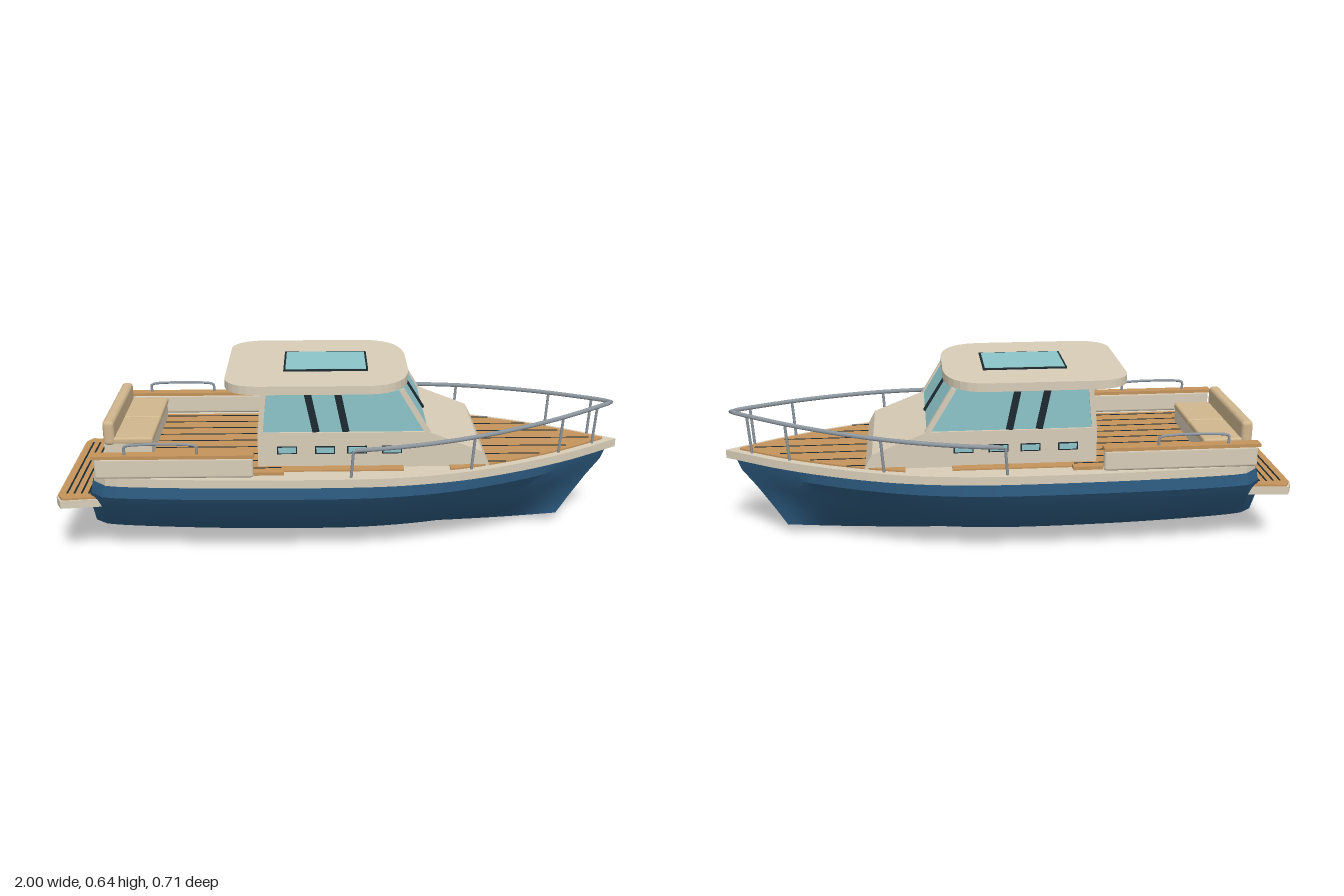
import * as THREE from 'three';
import { toCreasedNormals } from 'three/addons/utils/BufferGeometryUtils.js';
import { RoundedBoxGeometry } from 'three/addons/geometries/RoundedBoxGeometry.js';

const mat = (name, color, side = THREE.FrontSide) => {
  const m = new THREE.MeshStandardMaterial({ color, side });
  m.name = name;
  return m;
};

export function createModel() {
  const boat = new THREE.Group();
  boat.name = 'motorBoat';
  const navy = mat('hullBlue', 0x2c597e);
  const cream = mat('cream', 0xd8cdb8);
  const teak = mat('teak', 0xc4945c);
  const dark = mat('darkTrim', 0x1c2a30);
  const glass = mat('glass', 0x8cc4c9, THREE.DoubleSide);
  const metal = mat('metal', 0x8d969e);
  const tan = mat('cushionTan', 0xcfb68e);

  const add = (name, geo, material) => {
    const m = new THREE.Mesh(geo, material);
    m.name = name;
    boat.add(m);
    return m;
  };
  // Box given by its limits on each axis
  const box = (name, material, [x0, x1], [y0, y1], [z0, z1], r = 0) => {
    const s = [x1 - x0, y1 - y0, z1 - z0];
    const geo = r ? new RoundedBoxGeometry(...s, 3, r) : new THREE.BoxGeometry(...s);
    const m = add(name, geo, material);
    m.position.set((x0 + x1) / 2, (y0 + y1) / 2, (z0 + z1) / 2);
    return m;
  };
  // Slanted bar between two points of the side profile
  const slab = (name, material, [x0, y0], [x1, y1], thick, z, width) => {
    const m = add(name, new THREE.BoxGeometry(Math.hypot(x1 - x0, y1 - y0), thick, width), material);
    m.position.set((x0 + x1) / 2, (y0 + y1) / 2, z);
    m.rotation.z = Math.atan2(y1 - y0, x1 - x0);
    return m;
  };
  const shapeOf = (pts) => new THREE.Shape(pts.map((p) => new THREE.Vector2(...p)));
  // Horizontal plate from a plan outline
  const plate = (name, material, shape, y0, y1) => {
    const g = new THREE.ExtrudeGeometry(shape, { depth: y1 - y0, bevelEnabled: false, curveSegments: 6 });
    g.rotateX(-Math.PI / 2).translate(0, y0, 0);
    return add(name, g, material);
  };
  // Upright panel from a side profile
  const panel = (name, material, pts, z0, z1) => {
    const g = new THREE.ExtrudeGeometry(shapeOf(pts), { depth: z1 - z0, bevelEnabled: false });
    g.translate(0, 0, z0);
    return add(name, g, material);
  };

  // Half breadth of the deck along the length
  const edge = new THREE.SplineCurve([
    [-0.86, 0.275], [-0.82, 0.318], [-0.68, 0.338], [-0.35, 0.354], [0, 0.355], [0.2, 0.342],
    [0.4, 0.302], [0.6, 0.23], [0.8, 0.13], [1, 0],
  ].map((p) => new THREE.Vector2(...p))).getPoints(90);
  const half = (x) => {
    const i = edge.findIndex((p) => p.x >= x);
    if (i < 0) return 0;
    if (i === 0) return edge[0].y;
    const a = edge[i - 1], b = edge[i];
    return a.y + (b.y - a.y) * (x - a.x) / (b.x - a.x);
  };
  const deckShape = (x0, x1, inset) => {
    const right = [], left = [], n = 40;
    for (let i = 0; i <= n; i++) {
      const x = x0 + (x1 - x0) * i / n;
      const w = Math.max(0.001, half(x) - inset);
      right.push([x, -w]);
      left.unshift([x, w]);
    }
    return shapeOf([...right, ...left]);
  };

  // Hull: stations lofted through sheer, shoulder, bilge, chine and keel
  const levels = [ // stern x, bow x, half breadth, height, end rise, fineness
    [-0.865, 0.968, 0.338, 0.308, 0, 1],
    [-0.875, 0.95, 0.346, 0.257, 0, 1],
    [-0.885, 0.9, 0.3, 0.185, 0.005, 1.1],
    [-0.89, 0.84, 0.212, 0.084, 0.015, 1.2],
    [-0.888, 0.8, 0, 0, 0.034, 1],
  ];
  const N = 40, pos = [], idx = [], R = 9;
  for (let i = 0; i <= N; i++) {
    const s = i / N, f = half(-0.86 + 1.86 * s) / 0.355, u = 2 * s - 1;
    for (let j = 0; j < R; j++) {
      const [xs, xb, w, y, rise, p] = levels[j < 5 ? j : 8 - j];
      pos.push(xs + (xb - xs) * s, y + rise * u * u, (j < 5 ? 1 : -1) * w * Math.pow(f, p));
    }
  }
  for (let i = 0; i < N; i++) for (let j = 0; j < R - 1; j++) {
    const a = i * R + j, b = a + R;
    idx.push(a, a + 1, b, b, a + 1, b + 1);
  }
  const centre = pos.length / 3;
  pos.push(-0.89, 0.17, 0);
  for (let j = 0; j < R; j++) idx.push(centre, (j + 1) % R, j);
  const hullGeo = new THREE.BufferGeometry();
  hullGeo.setAttribute('position', new THREE.Float32BufferAttribute(pos, 3));
  hullGeo.setIndex(idx);
  add('hull', toCreasedNormals(hullGeo, 0.5), navy);

  // Deck and gunwale
  plate('gunwale', cream, deckShape(-0.86, 1, 0), 0.303, 0.333);
  plate('foredeck', teak, deckShape(0.36, 0.95, 0.03), 0.333, 0.339);
  box('cockpitFloor', teak, [-0.83, 0.2], [0.333, 0.338], [-0.29, 0.29]).scale.z = 0.98;
  for (const [z, x1] of [[0, 0.9], [0.075, 0.8], [0.15, 0.69], [0.22, 0.56]])
    for (const s of z ? [1, -1] : [1])
      box('foredeckSeam', dark, [0.49, x1], [0.338, 0.3405], [s * z - 0.0025, s * z + 0.0025]);
  for (let i = -4; i <= 4; i++)
    box('cockpitSeam', dark, [-0.8, -0.22], [0.337, 0.3395], [i * 0.065 - 0.0025, i * 0.065 + 0.0025]);

  // Swim platform
  const platform = (k) => shapeOf([[-1 + k, -0.25], [-0.98 + k, -0.29 + k], [-0.84, -0.275 + k],
    [-0.84, 0.275 - k], [-0.98 + k, 0.29 - k], [-1 + k, 0.25]]);
  plate('swimPlatform', cream, platform(0), 0.205, 0.233);
  plate('platformTeak', teak, platform(0.006), 0.233, 0.24);
  for (const x of [-0.965, -0.94, -0.915, -0.89])
    box('platformSeam', dark, [x - 0.003, x + 0.003], [0.239, 0.2415], [-0.24, 0.24]);
  box('transomTrim', dark, [-0.882, -0.868], [0.238, 0.25], [-0.25, 0.25]);

  // Stern bench
  box('benchBase', cream, [-0.84, -0.675], [0.335, 0.392], [-0.265, 0.16]);
  for (const z of [-0.268, -0.053])
    box('benchCushion', tan, [-0.81, -0.67], [0.39, 0.414], [z, z + 0.215], 0.008);
  box('benchBackrest', tan, [-0.842, -0.802], [0.385, 0.475], [-0.272, 0.165], 0.014);

  // Tube through points
  const tube = (name, pts, r, n = 12) => add(name, new THREE.TubeGeometry(
    new THREE.CatmullRomCurve3(pts.map((p) => new THREE.Vector3(...p)), false, 'centripetal'), n, r, 8), metal);

  for (const s of [1, -1]) {
    const span = (a, b) => (s > 0 ? [a, b] : [-b, -a]);
    // Cockpit sides, caps, steps and grab rails
    box('cockpitSide', cream, [-0.845, -0.312], [0.333, 0.408], span(0.308, 0.336), 0.01);
    box('cockpitCap', teak, [-0.85, -0.31], [0.406, 0.418], span(0.303, 0.342));
    box('sideStep', teak, [-0.312, -0.21], [0.333, 0.345], span(0.28, 0.315));
    const z = s * 0.325;
    tube('grabRail', [[-0.74, 0.415, z], [-0.74, 0.445, z], [-0.73, 0.45, z], [-0.51, 0.45, z],
      [-0.5, 0.445, z], [-0.5, 0.415, z]], 0.005, 30);

    // Cabin sides with windows and posts
    panel('cabinSide', cream, [[-0.3, 0.333], [0.25, 0.333], [0.25, 0.46], [-0.3, 0.46]], ...span(0.225, 0.245));
    panel('sideWindow', glass, [[-0.285, 0.458], [0.278, 0.458], [0.188, 0.608], [-0.27, 0.608]], ...span(0.23, 0.237));
    slab('aftPost', cream, [-0.291, 0.455], [-0.276, 0.608], 0.018, s * 0.235, 0.018);
    slab('windscreenPost', cream, [0.283, 0.455], [0.19, 0.61], 0.018, s * 0.235, 0.018);
    slab('windowMullion', dark, [-0.1, 0.46], [-0.13, 0.606], 0.024, s * 0.238, 0.006);
    slab('windowMullion', dark, [0.002, 0.46], [-0.028, 0.606], 0.024, s * 0.238, 0.006);
    for (const x of [-0.2, -0.07, 0.04, 0.16]) {
      box('portholeFrame', dark, [x - 0.034, x + 0.034], [0.383, 0.411], span(0.244, 0.247));
      box('porthole', glass, [x - 0.03, x + 0.03], [0.387, 0.407], span(0.245, 0.2485));
    }
    // Aft bulkhead beside the open companionway
    box('aftBulkhead', cream, [-0.3, -0.284], [0.333, 0.46], span(0.12, 0.245));
    box('aftWindow', glass, [-0.287, -0.281], [0.46, 0.608], span(0.125, 0.23));
    box('doorPost', cream, [-0.293, -0.277], [0.46, 0.608], span(0.112, 0.126));
  }

  // Forward trunk, windscreen and helm
  panel('cabinTrunk', cream, [[0.2, 0.333], [0.5, 0.333], [0.472, 0.386], [0.285, 0.46], [0.2, 0.46]], -0.245, 0.245);
  slab('windscreen', glass, [0.282, 0.458], [0.19, 0.608], 0.006, 0, 0.46);
  slab('windscreenMullion', dark, [0.286, 0.462], [0.196, 0.608], 0.01, 0, 0.018);
  box('helmSeat', cream, [-0.2, -0.1], [0.338, 0.42], [0.07, 0.2], 0.01);
  box('helmSeatBack', tan, [-0.21, -0.18], [0.41, 0.51], [0.07, 0.2], 0.01);

  // Roof and skylight
  const roof = new THREE.Shape();
  roof.moveTo(-0.3, -0.273);
  roof.lineTo(0.08, -0.273);
  roof.quadraticCurveTo(0.19, -0.265, 0.215, -0.15);
  roof.lineTo(0.222, -0.1);
  roof.lineTo(0.222, 0.1);
  roof.lineTo(0.215, 0.15);
  roof.quadraticCurveTo(0.19, 0.265, 0.08, 0.273);
  roof.lineTo(-0.3, 0.273);
  roof.quadraticCurveTo(-0.4, 0.265, -0.41, 0.18);
  roof.lineTo(-0.41, -0.18);
  roof.quadraticCurveTo(-0.4, -0.265, -0.3, -0.273);
  plate('roof', cream, roof, 0.606, 0.636);
  box('skylightFrame', dark, [-0.212, 0.082], [0.634, 0.641], [-0.111, 0.111]);
  box('skylight', glass, [-0.205, 0.075], [0.638, 0.6425], [-0.102, 0.102]);

  // Bow rail with stanchions
  const railY = (x) => 0.432 + 0.045 * (x - 0.03) / 0.94;
  const railZ = (x) => Math.max(0, half(x) - 0.014);
  const side = [0.03, 0.15, 0.3, 0.45, 0.6, 0.75, 0.88, 0.94];
  const railPts = (s) => side.map((x) => [x, railY(x), s * railZ(x)]);
  tube('bowRail', [...railPts(1), [0.97, 0.476, 0], ...railPts(-1).reverse()], 0.008, 80);
  for (const s of [1, -1]) for (const x of [0.025, 0.44, 0.77, 0.91])
    tube('stanchion', [[x - 0.008, 0.333, s * (railZ(x) - 0.004)], [x, railY(x), s * railZ(x)]], 0.005, 1);

  return boat;
}
